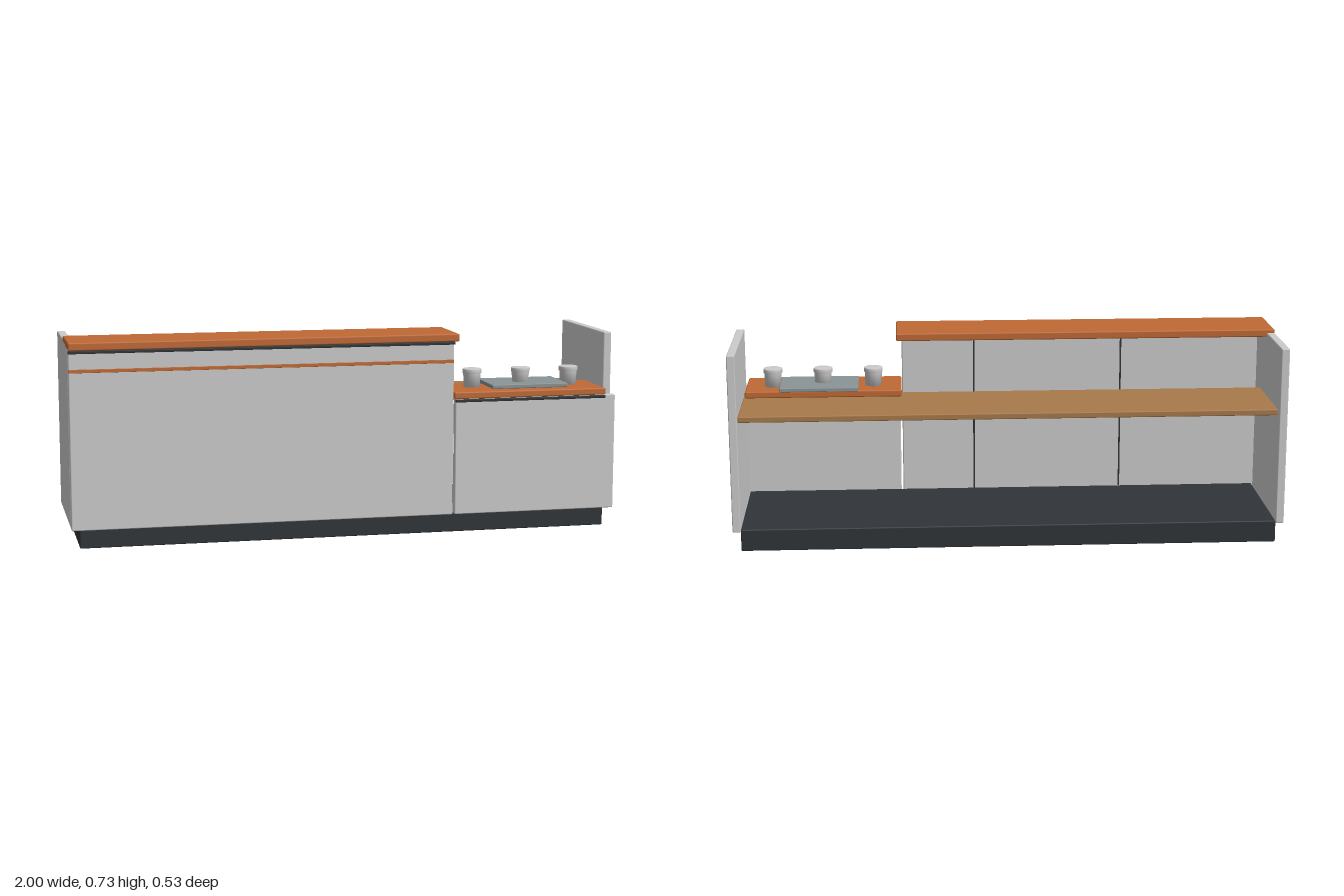
import * as THREE from 'three';
import { RoundedBoxGeometry } from 'three/addons/geometries/RoundedBoxGeometry.js';

const mat = (color) => new THREE.MeshStandardMaterial({ color });

export function createModel() {
  const model = new THREE.Group();
  model.name = 'receptionCounter';
  const grey = mat(0xcccccc);
  const dark = mat(0x303438);
  const orange = mat(0xc06a35);
  const wood = mat(0xa87a4a);
  const slate = mat(0x8a9496);

  // Softly bevelled board given by its extents along each axis
  function board(name, material, [x0, x1], [y0, y1], [z0, z1], bevel = 0.004) {
    const w = x1 - x0, h = y1 - y0, d = z1 - z0;
    const r = Math.min(bevel, w * 0.3, h * 0.3, d * 0.3);
    const mesh = new THREE.Mesh(new RoundedBoxGeometry(w, h, d, 1, r), material);
    mesh.position.set((x0 + x1) / 2, (y0 + y1) / 2, (z0 + z1) / 2);
    mesh.name = name;
    model.add(mesh);
    return mesh;
  }

  // Recessed plinth and floor
  board('plinth', dark, [-0.97, 0.97], [0, 0.08], [-0.265, 0.23]);

  // End panels
  board('leftSidePanel', grey, [0.97, 1], [0.07, 0.72], [-0.265, 0.205]);
  board('rightSidePanel', grey, [-1, -0.97], [0.07, 0.72], [-0.265, 0.205]);

  // Front panels, standing clear of the end panels
  board('tallFrontPanel', grey, [-1, 0.383], [0.07, 0.705], [0.228, 0.258]);
  board('lowFrontPanel', grey, [0.39, 1], [0.07, 0.495], [0.228, 0.258]);

  // Joint strips on the back of the tall front
  for (const x of [-0.45, 0.11]) {
    board('jointStrip', dark, [x - 0.003, x + 0.003], [0.08, 0.69], [0.2265, 0.229], 0.0005);
  }

  // Accent line and shadow strips on the front
  board('accentStrip', orange, [-1, 0.38], [0.628, 0.64], [0.255, 0.263], 0.001);
  board('tallShadowStrip', dark, [-1, 0.385], [0.695, 0.705], [0.247, 0.267], 0.002);
  board('lowShadowStrip', dark, [0.39, 0.96], [0.484, 0.494], [0.247, 0.267], 0.002);

  // Counter tops and rear work surface
  board('tallCounterTop', orange, [-1, 0.403], [0.705, 0.733], [0.018, 0.26], 0.005);
  board('lowCounterTop', orange, [0.385, 0.963], [0.495, 0.52], [0.025, 0.26], 0.005);
  board('workSurface', wood, [-0.97, 0.97], [0.47, 0.492], [-0.24, 0.11]);

  // Tray on the low counter
  board('tray', slate, [0.545, 0.835], [0.52, 0.535], [0.01, 0.205], 0.003);

  // Three lidded cups in a row
  const profile = [[0, 0], [0.03, 0], [0.032, 0.05], [0.035, 0.052], [0.035, 0.065], [0.033, 0.068], [0, 0.068]]
    .map(([r, y]) => new THREE.Vector2(r, y));
  const cupMaterial = mat(0xcccccc);
  cupMaterial.flatShading = false;
  const cupGeometry = new THREE.LatheGeometry(profile, 28);
  for (const x of [0.49, 0.677, 0.863]) {
    const cup = new THREE.Mesh(cupGeometry, cupMaterial);
    cup.position.set(x, 0.52, 0.12);
    cup.name = 'cup';
    model.add(cup);
  }

  return model;
}
